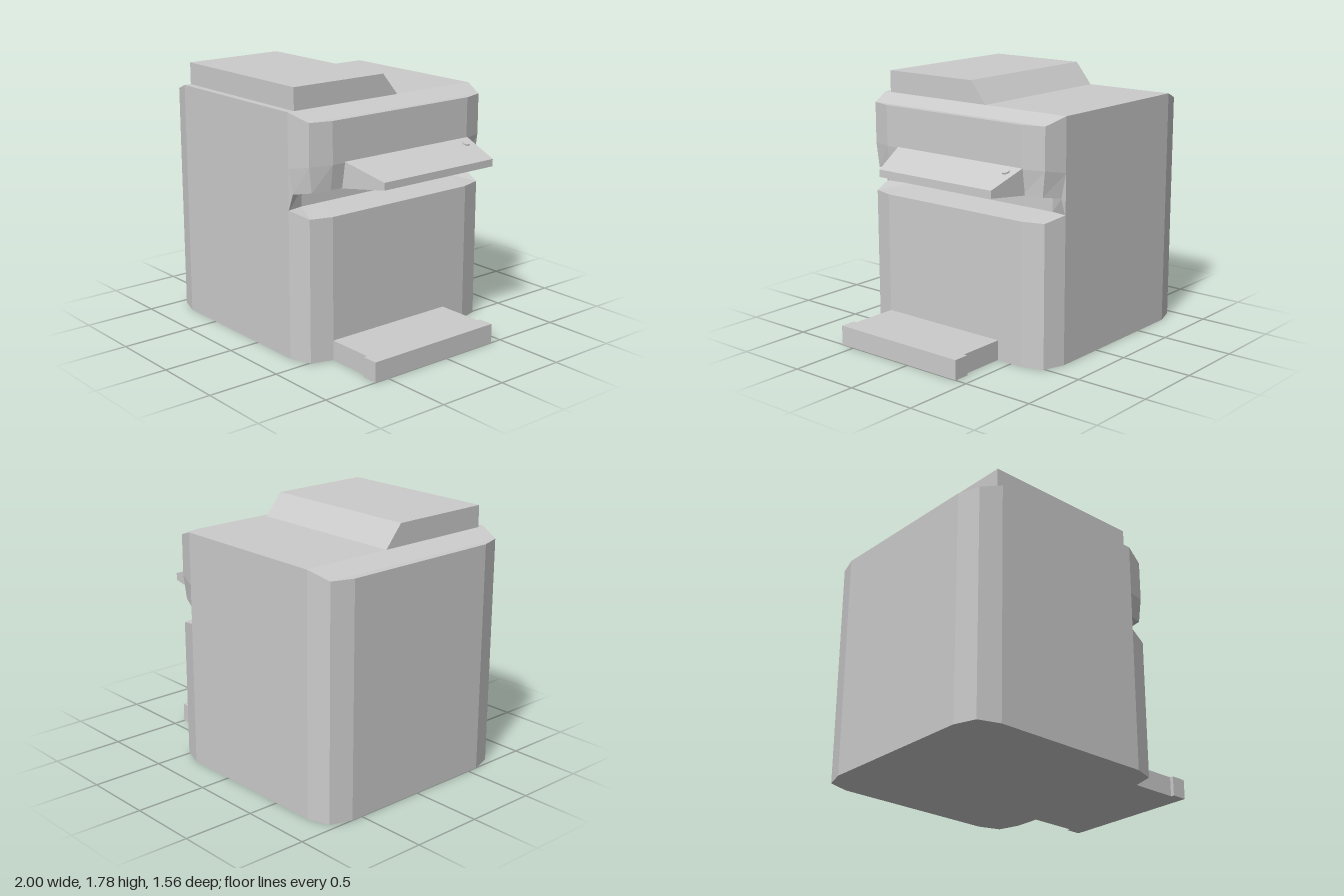
import * as THREE from 'three';

const material = new THREE.MeshStandardMaterial({ color: 0xcccccc, flatShading: true });

function addMesh(parent, name, geometry, x = 0, y = 0, z = 0) {
  const mesh = new THREE.Mesh(geometry, material);
  mesh.name = name;
  mesh.position.set(x, y, z);
  parent.add(mesh);
  return mesh;
}

// Skins a stack of equal rings, counter-clockwise from above; point i faces point n-1-i on the caps.
function loft(rings) {
  const out = [];
  const quad = (a, b, c, d) => out.push(...a, ...b, ...c, ...a, ...c, ...d);
  const n = rings[0].length;
  for (let r = 0; r < rings.length - 1; r++) {
    const lo = rings[r], hi = rings[r + 1];
    for (let i = 0; i < n; i++) {
      const j = (i + 1) % n;
      quad(lo[i], lo[j], hi[j], hi[i]);
    }
  }
  const top = rings[rings.length - 1], bottom = rings[0];
  for (let i = 0; i < n / 2 - 1; i++) {
    const j = i + 1, mi = n - 1 - i, mj = n - 1 - j;
    quad(top[i], top[j], top[mj], top[mi]);
    quad(bottom[mi], bottom[mj], bottom[j], bottom[i]);
  }
  const geometry = new THREE.BufferGeometry();
  geometry.setAttribute('position', new THREE.Float32BufferAttribute(out, 3));
  geometry.computeVertexNormals();
  return geometry;
}

// Full body ring from the left-edge height, shoulder height and the points of the +x corner.
function bodyRing(edgeY, shoulderY, sideY, corner) {
  const half = [
    [-1, edgeY, 0.58], [-0.95, edgeY, 0.73], [-0.8, shoulderY, 0.78],
    [0.36, sideY, 0.78], ...corner,
  ];
  const back = half.map(([x, y, z]) => [x, y, -z]).reverse();
  return [...half, ...back];
}

function corner(yInner, yOuter) {
  return [[0.36, yInner, 0.78], [0.51, yOuter, 0.73], [0.555, yOuter, 0.58]];
}

export function createModel() {
  const model = new THREE.Group();
  model.name = 'machine';

  // Chamfered cabinet with a slot cut across its +x face
  addMesh(model, 'cabinet', loft([
    bodyRing(0, 0, 0, corner(0, 0)),
    bodyRing(0.96, 0.96, 1.0, corner(1.0, 0.965)),
    bodyRing(0.98, 0.98, 1.0, [[0.36, 1.0, 0.775], [0.31, 0.99, 0.64], [0.31, 0.99, 0.5]]),
    bodyRing(1.1, 1.1, 1.1, [[0.38, 1.105, 0.76], [0.31, 1.1, 0.64], [0.31, 1.1, 0.5]]),
    bodyRing(1.12, 1.12, 1.11, [[0.38, 1.107, 0.76], [0.505, 1.13, 0.71], [0.535, 1.135, 0.58]]),
    bodyRing(1.3, 1.3, 1.27, corner(1.27, 1.3)),
    bodyRing(1.58, 1.63, 1.63, corner(1.63, 1.58)),
  ]));

  // Raised lid with a sloping back
  const lidProfile = new THREE.Shape([
    [-0.73, 1.61], [0.14, 1.61], [0, 1.78], [-0.73, 1.78],
  ].map(([x, y]) => new THREE.Vector2(x, y)));
  const lid = new THREE.ExtrudeGeometry(lidProfile, { depth: 1.16, bevelEnabled: false });
  lid.rotateY(Math.PI / 2);
  addMesh(model, 'lid', lid, -0.8);

  // Tapered control shelf over the slot
  const shelfRing = (yIn, yOut) => [
    [0.53, yIn, 0.49], [0.825, yOut, 0.39], [0.825, yOut, -0.56], [0.53, yIn, -0.59],
  ];
  addMesh(model, 'controlShelf', loft([shelfRing(1.13, 1.16), shelfRing(1.315, 1.21)]));
  const button = addMesh(model, 'button',
    new THREE.CylinderGeometry(0.025, 0.025, 0.02, 12), 0.622, 1.283, -0.51);
  button.rotation.z = -0.34;

  // Low step at the foot with a wider outer bar
  addMesh(model, 'step', new THREE.BoxGeometry(0.4, 0.135, 0.97), 0.69, 0.0675, 0.095);
  addMesh(model, 'stepBar', new THREE.BoxGeometry(0.11, 0.135, 1.02), 0.945, 0.0675, 0.095);

  return model;
}
